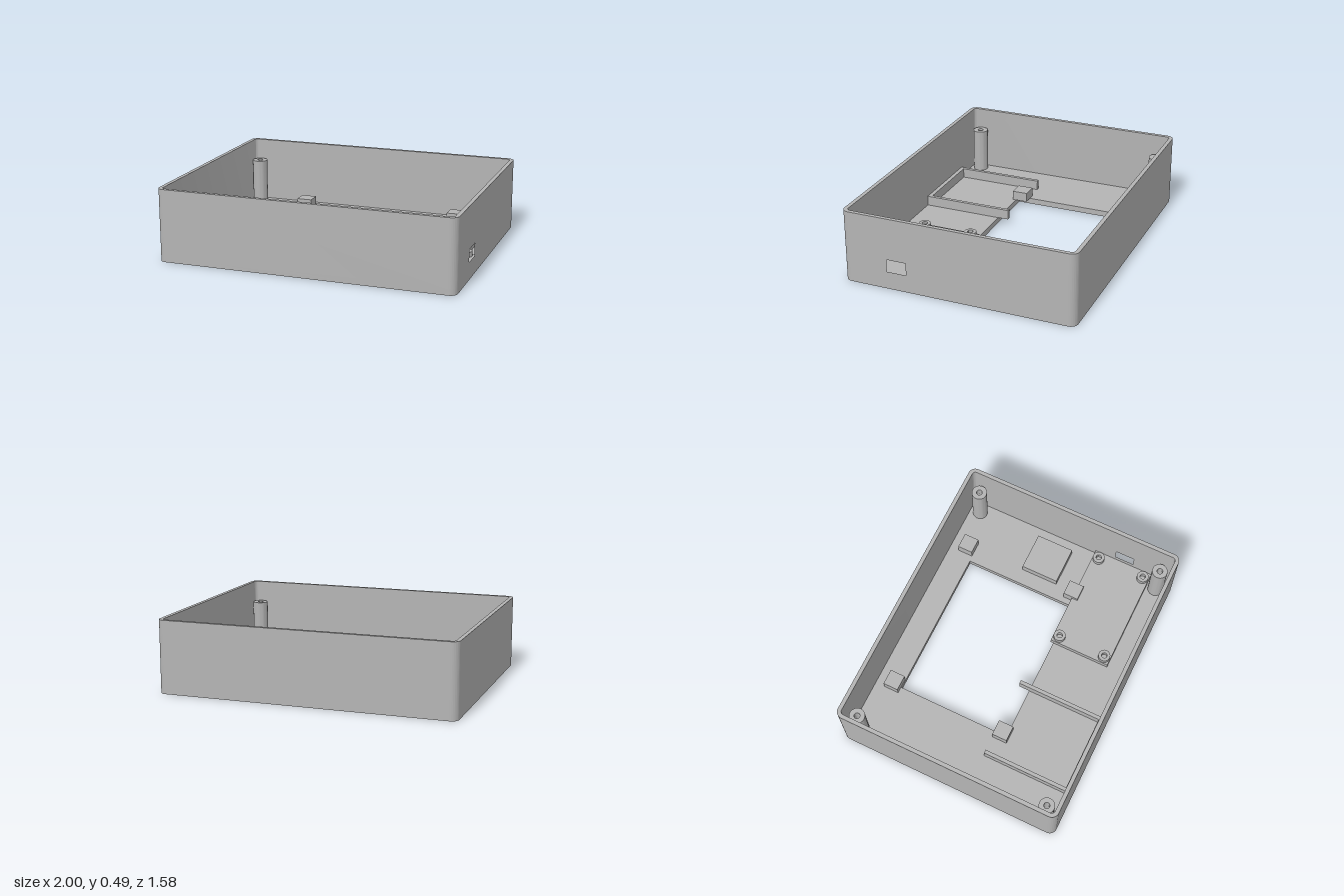
import * as THREE from 'three';
import { toCreasedNormals } from 'three/addons/utils/BufferGeometryUtils.js';

const FLOOR = 0.04, TOP = 0.49, HALF_PI = Math.PI / 2;
const CX = 0.95, CZ = 0.74, R_OUT = 0.05, R_IN = 0.023; // corner centres and radii

export function createModel() {
  const model = new THREE.Group();
  model.name = 'enclosure';
  const grey = new THREE.MeshStandardMaterial({ color: 0xb4b4b4 });
  grey.name = 'grey plastic';

  function add(name, geometry, x = 0, y = 0, z = 0) {
    const mesh = new THREE.Mesh(geometry, grey);
    mesh.name = name;
    mesh.position.set(x, y, z);
    model.add(mesh);
    return mesh;
  }

  // Extrude a shape drawn as (x, -z) straight up
  function extrudeUp(shape, height) {
    const g = new THREE.ExtrudeGeometry(shape, { depth: height, bevelEnabled: false, curveSegments: 16 });
    return toCreasedNormals(g.rotateX(-HALF_PI), 0.6);
  }

  function rectPath(x0, y0, x1, y1) {
    return new THREE.Path([[x0, y0], [x0, y1], [x1, y1], [x1, y0], [x0, y0]].map(p => new THREE.Vector2(...p)));
  }

  // Box given by its limits
  function block(name, x0, x1, y0, y1, z0, z1) {
    add(name, new THREE.BoxGeometry(x1 - x0, y1 - y0, z1 - z0), (x0 + x1) / 2, (y0 + y1) / 2, (z0 + z1) / 2);
  }

  // Round post with a screw hole
  function post(name, x, z, y, height, radius, hole) {
    const s = new THREE.Shape().absarc(0, 0, radius, 0, Math.PI * 2, false);
    s.holes.push(new THREE.Path().absarc(0, 0, hole, 0, Math.PI * 2, true));
    add(name, extrudeUp(s, height), x, y, z);
  }

  // Floor with the display opening
  const floor = new THREE.Shape();
  floor.absarc(CX, CZ, R_OUT, 0, HALF_PI, false);
  floor.absarc(-CX, CZ, R_OUT, HALF_PI, Math.PI, false);
  floor.absarc(-CX, -CZ, R_OUT, Math.PI, 3 * HALF_PI, false);
  floor.absarc(CX, -CZ, R_OUT, 3 * HALF_PI, 4 * HALF_PI, false);
  floor.holes.push(rectPath(-0.53, -0.215, 0.525, 0.585));
  add('floor', extrudeUp(floor, FLOOR));

  // Front, back and right walls with all rounded corners
  const wall = new THREE.Shape();
  wall.absarc(CX, -CZ, R_OUT, 0, -HALF_PI, true);
  wall.absarc(-CX, -CZ, R_OUT, -HALF_PI, -Math.PI, true);
  wall.absarc(-CX, CZ, R_OUT, Math.PI, HALF_PI, true);
  wall.absarc(CX, CZ, R_OUT, HALF_PI, 0, true);
  wall.absarc(CX, CZ, R_IN, 0, HALF_PI, false);
  wall.absarc(-CX, CZ, R_IN, HALF_PI, Math.PI, false);
  wall.absarc(-CX, -CZ, R_IN, Math.PI, 3 * HALF_PI, false);
  wall.absarc(CX, -CZ, R_IN, -HALF_PI, 0, false);
  add('walls', extrudeUp(wall, TOP - FLOOR), 0, FLOOR, 0);

  // Left wall panel with the connector opening, drawn as (-z, y)
  const panel = new THREE.Shape(rectPath(-CZ, FLOOR, CZ, TOP).getPoints());
  panel.holes.push(rectPath(-0.48, 0.12, -0.345, 0.205));
  const panelGeometry = new THREE.ExtrudeGeometry(panel, { depth: R_OUT - R_IN, bevelEnabled: false });
  add('portWall', panelGeometry.rotateY(HALF_PI), CX + R_IN, 0, 0);

  // Corner screw posts
  for (const x of [-0.91, 0.905]) for (const z of [-0.69, 0.69]) {
    post('cornerPost', x, z, FLOOR, 0.31, 0.053, 0.02);
  }

  // Raised circuit board platform and its standoffs
  block('boardPlatform', 0.22, 0.974, FLOOR, 0.082, 0.195, 0.625);
  for (const x of [0.265, 0.92]) for (const z of [0.24, 0.58]) {
    post('boardStandoff', x, z, 0.082, 0.033, 0.041, 0.019);
  }

  // Display retaining blocks
  for (const x of [-0.52, 0.62]) for (const z of [-0.643, 0.184]) {
    block('displayBlock', x - 0.054, x + 0.054, FLOOR, 0.105, z - 0.053, z + 0.053);
  }

  // Raised pad beside the opening
  block('sidePad', 0.63, 0.895, FLOOR, 0.095, -0.22, 0.045);

  // Battery bay: two ribs and an end strip
  for (const x of [-0.704, -0.157]) {
    block('bayRib', x - 0.0125, x + 0.0125, FLOOR, 0.108, 0.14, 0.764);
  }
  block('bayEnd', -0.692, -0.169, FLOOR, 0.108, 0.735, 0.764);

  return model;
}
